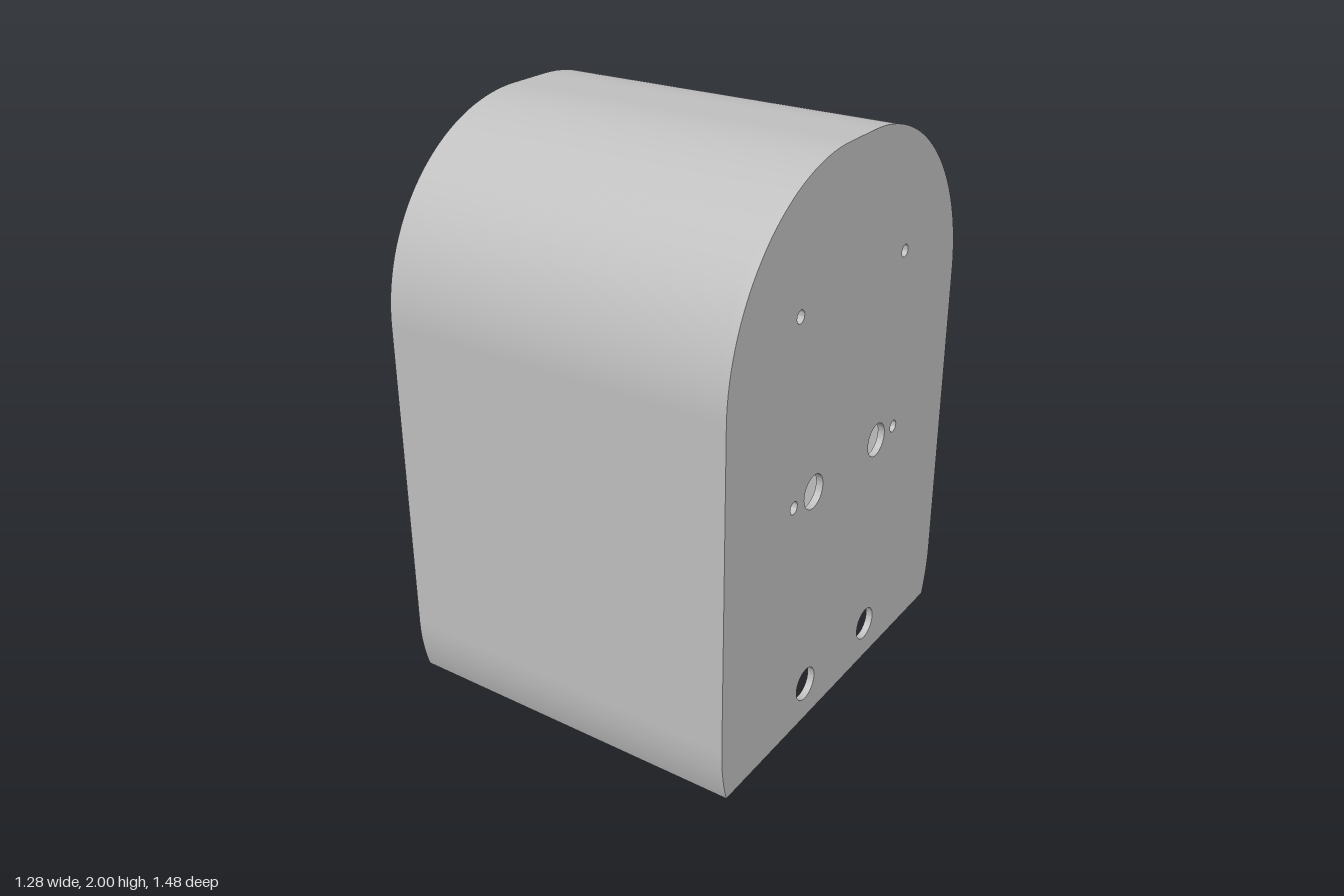
import * as THREE from 'three';
import { toCreasedNormals } from 'three/addons/utils/BufferGeometryUtils.js';

const HALF_LENGTH = 0.64, WALL = 0.025;
const RADIUS = 0.66, ARC_X = 0.08, TOP_Y = 1.34, LOW_Y = 0.2;

// Arched outline, from one foot over the top to the other, moved inwards by inset
function archOutline(inset) {
  const r = RADIUS - inset;
  const foot = Math.asin(LOW_Y / r);
  const shape = new THREE.Shape();
  shape.absarc(ARC_X, LOW_Y, r, -foot, 0, false);
  shape.absarc(ARC_X, TOP_Y, r, 0, Math.PI / 2, false);
  shape.absarc(-ARC_X, TOP_Y, r, Math.PI / 2, Math.PI, false);
  shape.absarc(-ARC_X, LOW_Y, r, Math.PI, Math.PI + foot, false);
  return shape;
}

// Extrude along +x, starting at startX
function extrudeAlongX(shape, startX, depth) {
  const geometry = new THREE.ExtrudeGeometry(shape, { depth, bevelEnabled: false, curveSegments: 32 });
  geometry.rotateY(Math.PI / 2);
  geometry.translate(startX, 0, 0);
  return toCreasedNormals(geometry, 0.5);
}

export function createModel() {
  const group = new THREE.Group();
  group.name = 'archedCover';
  const grey = new THREE.MeshStandardMaterial({ color: 0xc0c0c0 });
  grey.name = 'light grey';

  const add = (name, geometry) => {
    const mesh = new THREE.Mesh(geometry, grey);
    mesh.name = name;
    group.add(mesh);
  };

  // Bent shell, open below and at one end
  const outer = archOutline(0).getPoints(32);
  const inner = archOutline(WALL).getPoints(32).reverse();
  add('shell', extrudeAlongX(new THREE.Shape([...outer, ...inner]), -HALF_LENGTH, 2 * HALF_LENGTH - WALL));

  // End panel with screw holes and larger cable holes
  const panel = archOutline(0);
  const holes = [
    [0.34, 1.535, 0.022],
    [0.34, 0.89, 0.022],
    [0.215, 0.89, 0.06],
    [0.215, 0.14, 0.06],
  ];
  for (const [x, y, r] of holes) {
    for (const side of [-1, 1]) {
      panel.holes.push(new THREE.Path().absarc(side * x, y, r, 0, Math.PI * 2, true));
    }
  }
  add('endPanel', extrudeAlongX(panel, HALF_LENGTH - WALL, WALL));

  return group;
}
